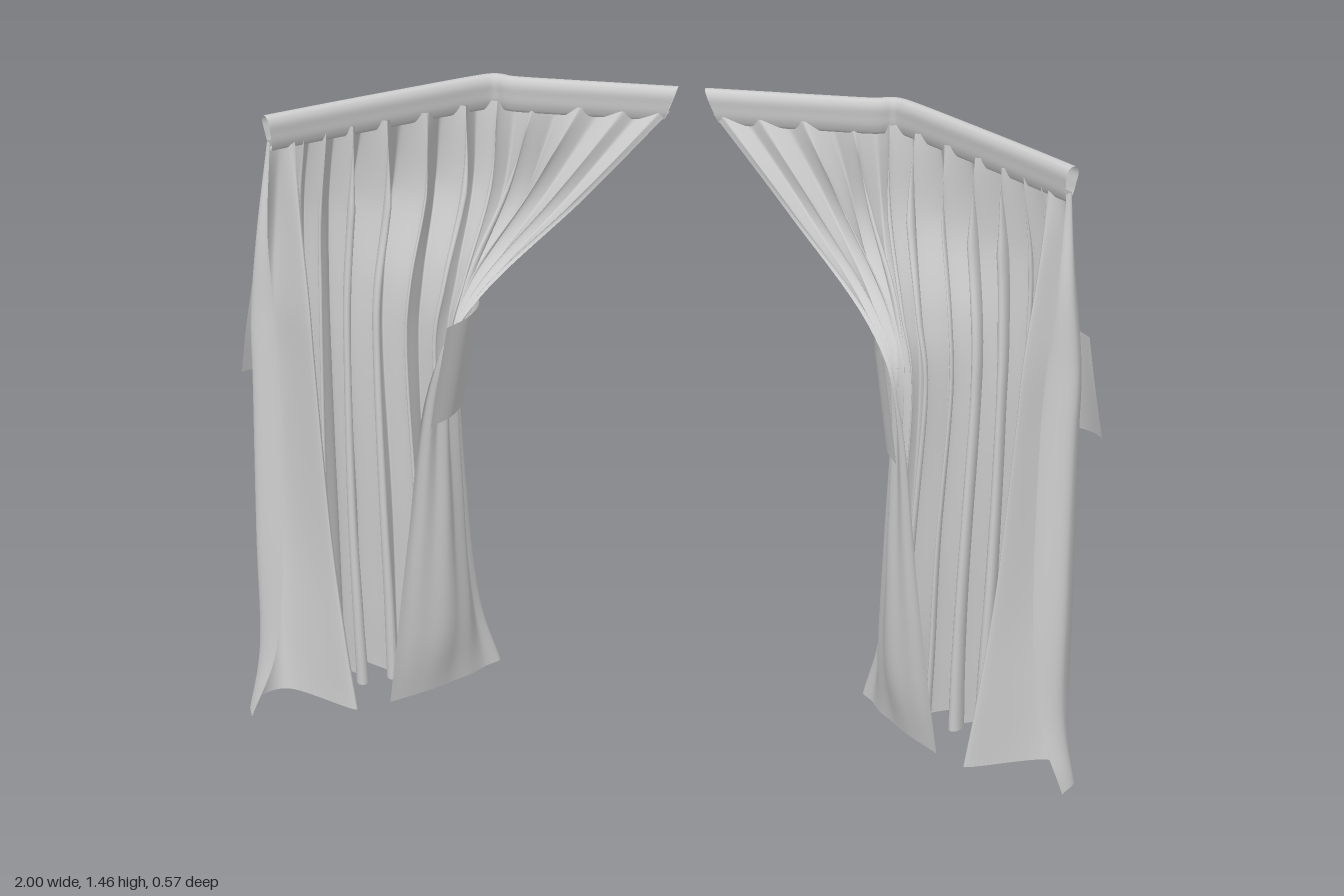
import * as THREE from 'three';

const cloth = new THREE.MeshStandardMaterial({ color: 0xcccccc, side: THREE.DoubleSide });
const V = (x, y, z) => new THREE.Vector3(x, y, z);
const smooth = (pts) => new THREE.CatmullRomCurve3(pts, false, 'catmullrom', 0.5);

// Grid surface from rows of points, mirrored in x by side
function sheet(name, rows, side) {
  const pos = [], idx = [], n = rows[0].length;
  for (const row of rows) for (const p of row) pos.push(p.x * side, p.y, p.z);
  for (let i = 0; i < rows.length - 1; i++) {
    for (let j = 0; j < n - 1; j++) {
      const a = i * n + j, b = a + 1, c = a + n, d = c + 1;
      if (side > 0) idx.push(a, c, b, b, c, d);
      else idx.push(a, b, c, b, d, c);
    }
  }
  const geo = new THREE.BufferGeometry();
  geo.setAttribute('position', new THREE.Float32BufferAttribute(pos, 3));
  geo.setIndex(idx);
  geo.computeVertexNormals();
  const mesh = new THREE.Mesh(geo, cloth);
  mesh.name = name;
  return mesh;
}

// Hanging guide lines from the leading edge to the outer edge: [x, z] at each level
const levels = [1.4, 1.2, 1.0, 0.82, 0.45, 0.18, 0.0];
const guides = [
  // Leading edge, fan and inner corner
  [[0.05, -0.25], [0.24, -0.17], [0.455, -0.01], [0.55, 0.115], [0.60, 0.15], [0.635, 0.155], [0.66, 0.15]],
  [[0.25, -0.252], [0.36, -0.20], [0.482, -0.065], [0.52, 0.025], [0.517, 0.055], [0.52, 0.05], [0.555, 0.04]],
  [[0.46, -0.262], [0.475, -0.225], [0.515, -0.13], [0.545, -0.09], [0.53, -0.09], [0.505, -0.10], [0.455, -0.125]],
  // Pleated run along the slanted rail
  [[0.61, -0.145], [0.625, -0.145], [0.65, -0.085], [0.66, -0.065], [0.65, -0.045], [0.645, -0.05], [0.64, -0.06]],
  [[0.76, -0.01], [0.78, -0.02], [0.785, 0.0], [0.785, 0.015], [0.785, 0.03], [0.785, 0.035], [0.785, 0.03]],
  [[0.85, 0.07], [0.885, 0.04], [0.88, 0.055], [0.875, 0.06], [0.87, 0.065], [0.86, 0.07], [0.85, 0.07]],
  // Last deep fold, then the panel that curls to the outer edge
  [[0.855, 0.085], [0.84, 0.11], [0.82, 0.14], [0.81, 0.15], [0.785, 0.17], [0.755, 0.19], [0.73, 0.20]],
  [[0.885, 0.10], [0.91, 0.08], [0.925, 0.08], [0.93, 0.075], [0.935, 0.085], [0.935, 0.11], [0.92, 0.13]],
  [[0.905, 0.12], [0.925, 0.17], [0.945, 0.185], [0.945, 0.20], [0.95, 0.22], [0.955, 0.22], [0.985, 0.21]],
  [[0.895, 0.135], [0.89, 0.20], [0.875, 0.22], [0.87, 0.23], [0.875, 0.25], [0.90, 0.265], [0.965, 0.285]],
].map((g) => smooth(g.map(([x, z], i) => V(x, levels[i], z))));
const last = guides.length - 1;

// Pleat depth at each guide (rows) for the sleeve, upper, tie and hem heights
const depth = [
  [0.006, 0.008, 0.002, 0], [0.012, 0.026, 0.006, 0],
  [0.014, 0.034, 0.014, 0.006], [0.015, 0.048, 0.042, 0.058],
  [0.015, 0.050, 0.045, 0.060], [0.010, 0.022, 0.020, 0.022],
  [0, 0, 0, 0], [0, 0, 0, 0], [0, 0, 0, 0], [0, 0, 0, 0],
];
function pleatDepth(s, y) {
  const f = y > 1.2 ? (1.4 - y) / 0.2 : y > 0.85 ? 1 + (1.2 - y) / 0.35 : 2 + (0.85 - y) / 0.85;
  const k = Math.min(2, Math.floor(f)), i = Math.min(last - 1, Math.floor(s));
  const at = (r) => THREE.MathUtils.lerp(depth[r][k], depth[r][k + 1], f - k);
  return THREE.MathUtils.lerp(at(i), at(i + 1), s - i);
}

// Gathered curtain panel with pleats round on the outside and tight on the inside
function drape(side) {
  const rows = [], nv = 48, nu = 480;
  for (let i = 0; i <= nv; i++) {
    const section = smooth(guides.map((g) => g.getPoint(i / nv)));
    const row = [];
    for (let j = 0; j <= nu; j++) {
      const t = j / nu, s = t * last;
      const p = section.getPoint(t), d = section.getTangent(t);
      const ph = s * Math.PI * 4.2 + 0.5 * Math.sin(s * 3.1) + 0.3 * Math.sin(p.y * 4 + s * 2);
      const size = pleatDepth(s, p.y) * (1 + 0.2 * Math.sin(s * 5.3 + 1));
      const out = Math.sin(ph) * size;
      const along = (0.22 * Math.cos(ph) + 0.2 * Math.sin(2 * ph)) * size;
      row.push(V(p.x - d.z * out + d.x * along, Math.max(0, p.y), p.z + d.x * out + d.z * along));
    }
    rows.push(row);
  }
  return sheet('curtainDrape', rows, side);
}

// Rod sleeve: a teardrop section swept along the bent rail
function sleeve(side) {
  const rail = smooth([
    [0.04, -0.253], [0.16, -0.253], [0.30, -0.253], [0.42, -0.255], [0.465, -0.268],
    [0.51, -0.243], [0.64, -0.125], [0.78, 0.005], [0.905, 0.125],
  ].map(([x, z]) => V(x, 0, z)));
  const loop = new THREE.CatmullRomCurve3([
    [0, 1.375], [0.011, 1.395], [0.015, 1.42], [0.017, 1.444], [0.009, 1.459],
    [-0.009, 1.459], [-0.017, 1.444], [-0.015, 1.42], [-0.011, 1.395],
  ].map(([w, y]) => V(w, y, 0)), true).getPoints(36);
  const rows = [];
  for (let i = 0; i <= 90; i++) {
    const t = i / 90, p = rail.getPoint(t), d = rail.getTangent(t);
    // Both ends are cut at a slant
    const slant = 0.4 * Math.max(0, 1 - t * 8) - 0.15 * Math.max(0, t * 8 - 7);
    rows.push(loop.map((q) => {
      const shift = slant * (1.44 - q.y);
      return V(p.x - d.z * q.x + d.x * shift, q.y, p.z + d.x * q.x + d.z * shift);
    }));
  }
  return sheet('rodSleeve', rows, side);
}

// Tieback band around the outside of the gathered cloth
function tieback(side) {
  const path = smooth([
    [0.505, 0.10], [0.472, 0.02], [0.472, -0.075], [0.525, -0.148],
    [0.69, -0.12], [0.82, -0.04], [0.91, 0.035], [0.96, 0.11],
  ].map(([x, z]) => V(x, 0, z)));
  const rows = [];
  for (let i = 0; i <= 8; i++) {
    const v = i / 8, row = [];
    for (let j = 0; j <= 70; j++) {
      const t = j / 70, p = path.getPoint(t);
      const rise = THREE.MathUtils.smoothstep(t, 0.3, 1);
      // The inner end slopes in with the cloth, the outer end stands off
      const flare = v * (0.038 * (1 - rise) + 0.04 * rise ** 4);
      row.push(V(p.x + flare, 0.965 + 0.095 * rise - 0.24 * v,
        p.z + v * 0.03 * (1 - rise) + 0.01 * rise * Math.sin(v * Math.PI)));
    }
    rows.push(row);
  }
  return sheet('tiebackBand', rows, side);
}

export function createModel() {
  const model = new THREE.Group();
  model.name = 'curtainPair';
  for (const side of [1, -1]) {
    const curtain = new THREE.Group();
    curtain.name = side > 0 ? 'leftCurtain' : 'rightCurtain';
    curtain.add(drape(side), sleeve(side), tieback(side));
    model.add(curtain);
  }
  return model;
}
